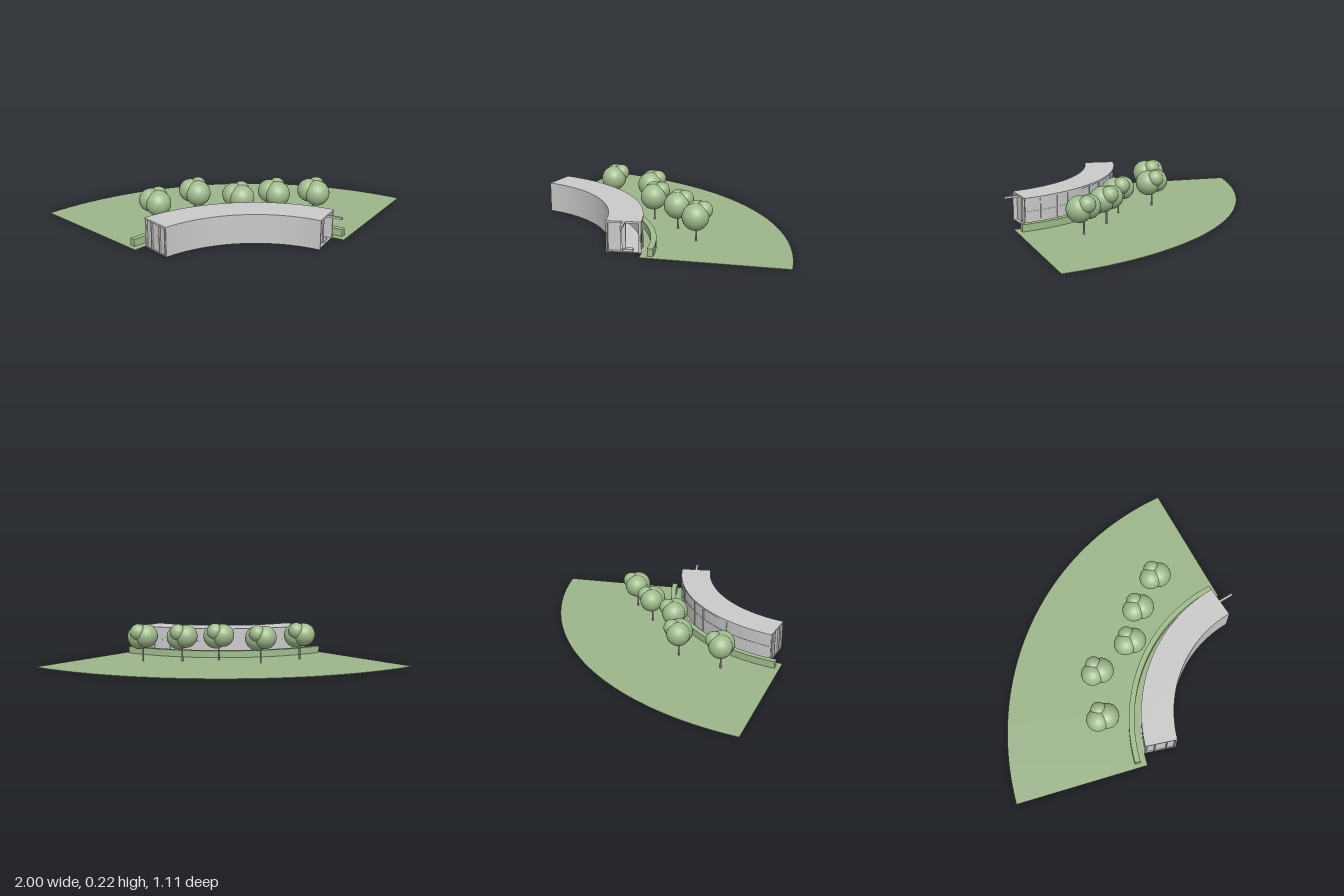
import * as THREE from 'three';
import { toCreasedNormals } from 'three/addons/utils/BufferGeometryUtils.js';

const CX = 0.21, CZ = 1.03; // common centre of every arc
const rad = THREE.MathUtils.degToRad;

export function createModel() {
  const model = new THREE.Group();
  const mat = (name, color) => new THREE.MeshStandardMaterial({ name, color, side: THREE.DoubleSide });
  const grass = mat('grass green', 0x9db58b);
  const leaf = mat('leaf green', 0xa0bb8d);
  const concrete = mat('concrete grey', 0xcacaca);
  const trunkGrey = mat('trunk grey', 0xb4b4ac);

  const add = (name, geometry, material, parent = model) => {
    const mesh = new THREE.Mesh(geometry, material);
    mesh.name = name;
    parent.add(mesh);
    return mesh;
  };

  // Slab bent round the common centre; angles in degrees from the back, towards +x
  function arcSlab(name, r0, r1, a0, a1, y0, y1, material, parent) {
    const t0 = rad(90 - a0), t1 = rad(90 - a1);
    const shape = new THREE.Shape();
    shape.absarc(CX, -CZ, r1, t0, t1, true);
    shape.absarc(CX, -CZ, r0, t1, t0, false);
    const geo = new THREE.ExtrudeGeometry(shape, {
      depth: y1 - y0, bevelEnabled: false, curveSegments: Math.max(1, Math.ceil((a1 - a0) / 2)),
    });
    geo.rotateX(-Math.PI / 2).translate(0, y0, 0);
    return add(name, toCreasedNormals(geo, rad(30)), material, parent);
  }

  // Box set on an arc: radial depth, height and tangential length
  function arcBox(name, r, a, y, depth, height, length, material, parent) {
    const mesh = add(name, new THREE.BoxGeometry(length, height, depth), material, parent);
    mesh.position.set(CX + r * Math.sin(rad(a)), y, CZ - r * Math.cos(rad(a)));
    mesh.rotation.y = -rad(a);
    return mesh;
  }

  // Lawn and the low hedge behind the building
  arcSlab('lawn', 0.855, 1.59, -49.6, 29.6, 0, 0.003, grass);
  arcSlab('hedge', 0.89, 0.92, -48, 27.9, 0.003, 0.042, leaf);

  // Curved building
  const building = new THREE.Group();
  building.name = 'building';
  model.add(building);
  arcSlab('roof', 0.68, 0.855, -45, 25.3, 0.152, 0.162, concrete, building);
  arcSlab('floor', 0.68, 0.855, -45, 25, 0, 0.004, concrete, building);
  arcSlab('frontWall', 0.68, 0.687, -45, 25.5, 0, 0.16, concrete, building);
  arcSlab('backWall', 0.842, 0.85, -45, 25.3, 0, 0.155, concrete, building);
  arcSlab('leftEndWall', 0.685, 0.85, -44.5, -44, 0, 0.155, concrete, building);
  arcSlab('entranceWall', 0.685, 0.75, 23, 23.6, 0, 0.155, concrete, building);

  // Mullions and sill rail on the back wall
  for (const a of [-44.7, -25.5, -12, -5, 7, 12, 19, 25])
    arcBox('mullion', 0.85, a, 0.078, 0.009, 0.152, 0.006, concrete, building);
  arcSlab('backRail', 0.85, 0.852, -44, 25, 0.083, 0.087, concrete, building);

  // Fins on the closed left end
  for (const r of [0.69, 0.735, 0.8, 0.847])
    arcBox('endFin', r, -44.7, 0.078, 0.006, 0.15, 0.012, concrete, building);

  // Entrance at the open right end: column, step and projecting beam
  arcBox('entranceColumn', 0.765, 23.5, 0.078, 0.02, 0.15, 0.012, concrete, building);
  arcBox('entranceStep', 0.785, 23.5, 0.008, 0.05, 0.014, 0.025, concrete, building);
  const beam = arcBox('entranceBeam', 0.77, 25.2, 0.156, 0.012, 0.011, 0.17, concrete, building);
  beam.translateX(-0.002);

  // Trees: three overlapping balls on a thin trunk
  const trunk = new THREE.CylinderGeometry(0.004, 0.005, 0.1, 8).translate(0, 0.05, 0);
  const balls = [[0.02, 0.138, 0.012, 0.07], [-0.024, 0.146, -0.013, 0.064], [0.016, 0.169, -0.034, 0.046]];
  for (const [x, z] of [[-0.38, 0.145], [-0.18, -0.02], [0.065, 0.035], [0.26, -0.035], [0.48, -0.06]]) {
    const tree = new THREE.Group();
    tree.name = 'tree';
    tree.position.set(x, 0, z);
    add('trunk', trunk, trunkGrey, tree);
    for (const [bx, by, bz, r] of balls)
      add('foliage', new THREE.SphereGeometry(r, 24, 16), leaf, tree).position.set(bx, by, bz);
    model.add(tree);
  }
  return model;
}
